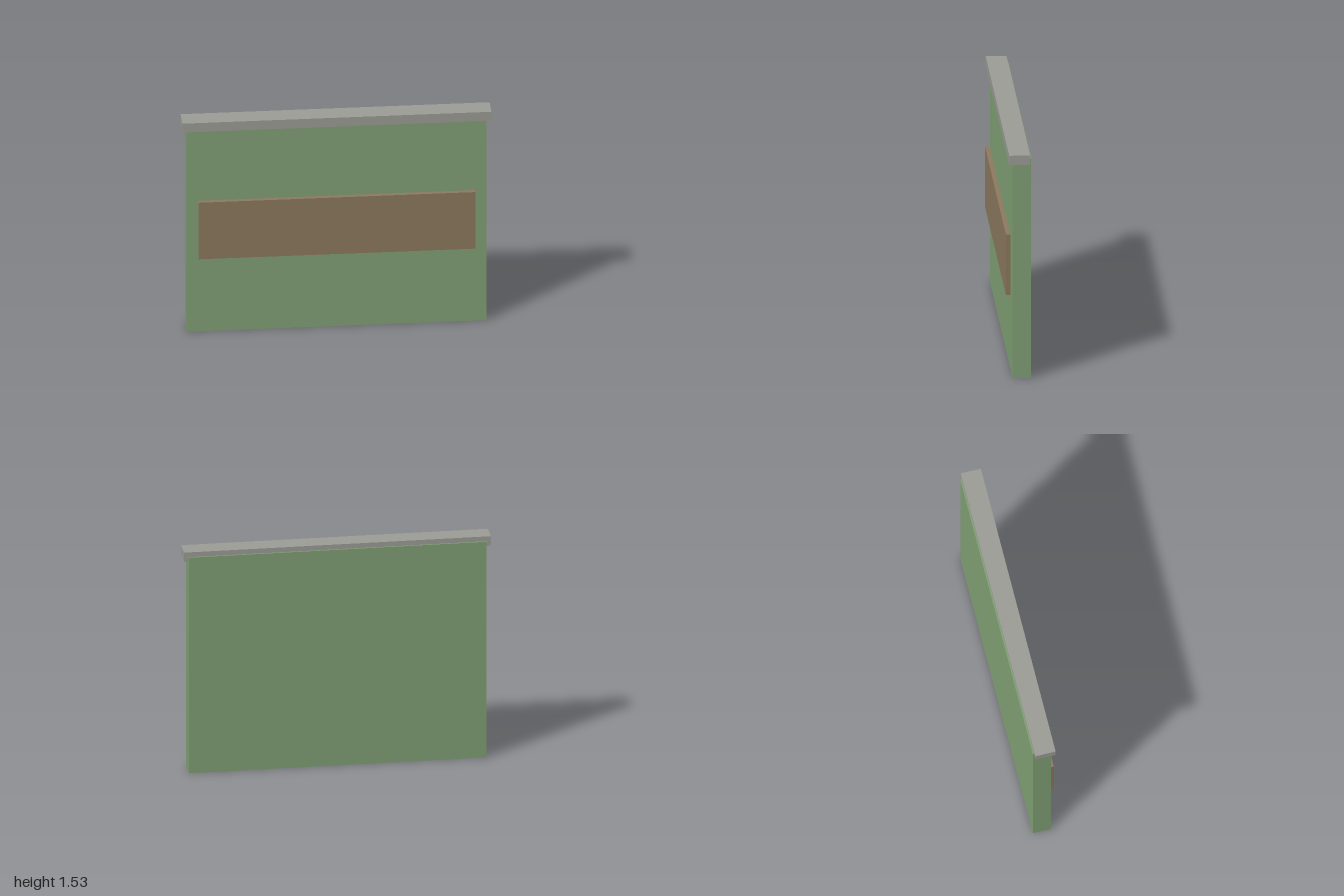
import * as THREE from 'three';

// Box given by its extents on each axis
function slab(name, color, [x0, x1], [y0, y1], [z0, z1]) {
  const mesh = new THREE.Mesh(
    new THREE.BoxGeometry(x1 - x0, y1 - y0, z1 - z0),
    new THREE.MeshStandardMaterial({ color })
  );
  mesh.position.set((x0 + x1) / 2, (y0 + y1) / 2, (z0 + z1) / 2);
  mesh.name = name;
  return mesh;
}

export function createModel() {
  const model = new THREE.Group();
  model.name = 'boardPanel';
  model.add(
    // Main upright panel
    slab('panel', 0x82a276, [-0.97, 0.97], [0, 1.493], [-0.079, 0.041]),
    // Cap rail, overhanging the front and ends, with the panel just showing behind
    slab('topRail', 0x9e9e98, [-1, 1], [1.461, 1.526], [-0.069, 0.065]),
    // Plank held slightly off the front face
    slab('frontPlank', 0x8e7a60, [-0.895, 0.895], [0.543, 0.954], [0.05, 0.079])
  );
  return model;
}
